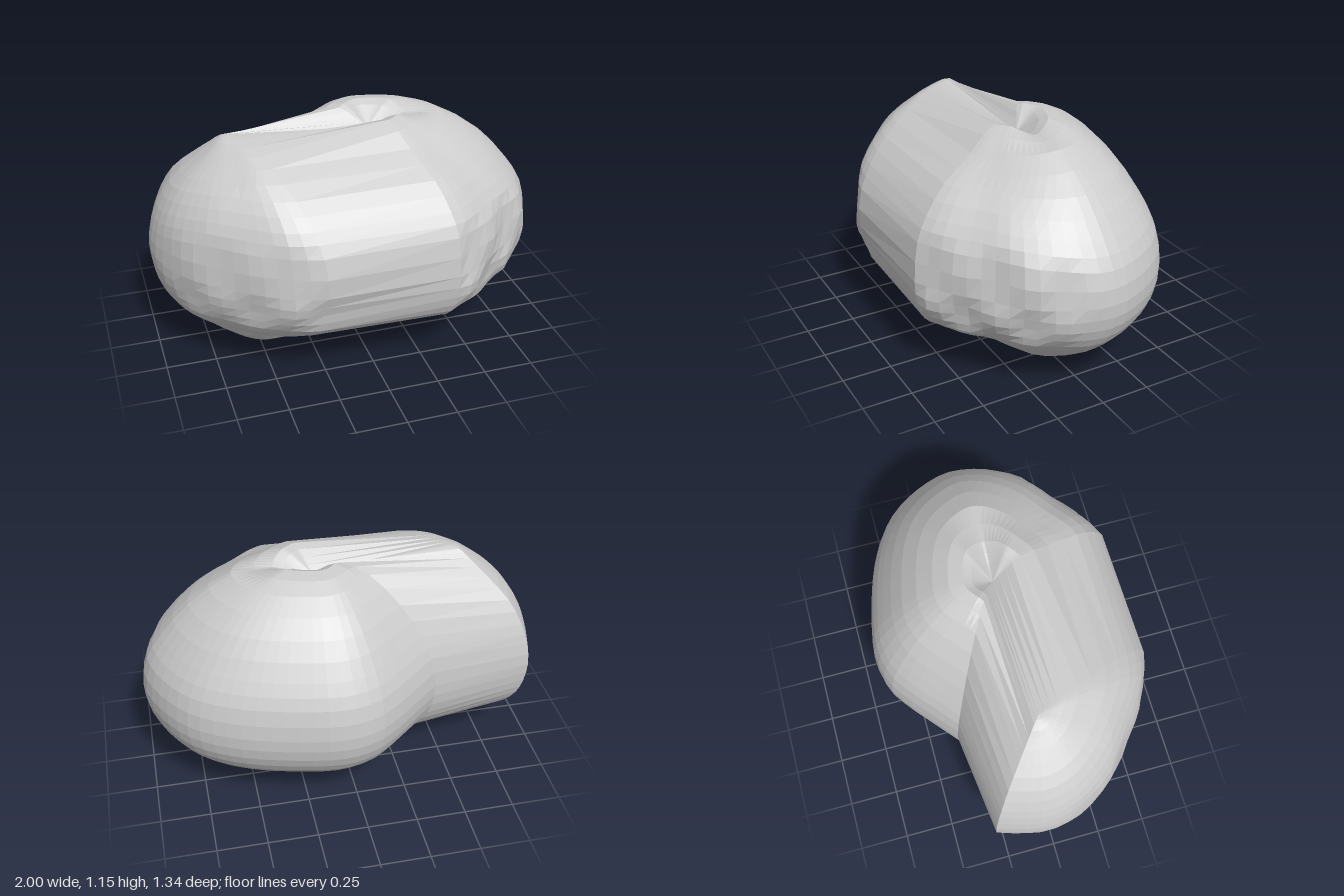
import * as THREE from 'three';

const ROWS = 28;

// Meridian profiles: [fraction of radius, height, height towards the front]
const bodyProfile = [
  [0, 1.05, 1.05], [0.1, 1.1, 1.1], [0.22, 1.15, 1.13], [0.45, 1.1, 1.04],
  [0.7, 0.96, 0.95], [0.87, 0.8, 0.83], [0.96, 0.68, 0.72], [1, 0.52, 0.52],
  [0.98, 0.39, 0.4], [0.91, 0.28, 0.3], [0.78, 0.18, 0.24], [0.6, 0.09, 0.21],
  [0.38, 0.01, 0.21], [0.22, 0.005, 0.11], [0, 0.03, 0.03],
];
const sideProfile = [
  [0, 1.11, 1.11], [0.1, 1.1, 1.12], [0.22, 1.06, 1.13], [0.45, 0.98, 1.045],
  [0.7, 0.88, 0.94], [0.87, 0.76, 0.83], [0.96, 0.65, 0.72], [1, 0.53, 0.52],
  [0.97, 0.42, 0.41], [0.9, 0.33, 0.31], [0.76, 0.25, 0.23], [0.57, 0.19, 0.18],
  [0.38, 0.145, 0.045], [0.2, 0.11, 0.06], [0, 0.09, 0.09],
];

// Widest outlines seen from above [x, z]
const bodyOutline = [
  [0.38, 0.66], [0.47, 0.62], [0.62, 0.5], [0.78, 0.38], [0.91, 0.23], [0.98, 0.08],
  [1, -0.06], [0.93, -0.26], [0.8, -0.43], [0.6, -0.55], [0.3, -0.64], [0.08, -0.67],
  [-0.08, -0.635], [-0.18, -0.57], [-0.3, -0.47], [-0.43, -0.36],
];
const sideOutline = [
  [-0.94, -0.3], [-0.98, -0.17], [-1, -0.03], [-0.95, 0.16], [-0.81, 0.35],
  [-0.65, 0.48], [-0.42, 0.63], [-0.28, 0.66],
];

const spline = (pts) => new THREE.CatmullRomCurve3(pts.map(([a, b, c = 0]) => new THREE.Vector3(a, b, c)));

// Columns of points from the top pole down to the base pole (each [x, z])
function meridians({ outline, profile, top, base, count, lumps, crease }) {
  const rim = spline(outline).getSpacedPoints(count);
  const rows = spline(profile).getPoints(ROWS);
  return rim.map((r, i) => rows.map(({ x: f, y, z: yFront }, j) => {
    const t = THREE.MathUtils.smoothstep(j / ROWS, 0.15, 0.95);
    const px = THREE.MathUtils.lerp(top[0], base[0], t);
    const pz = THREE.MathUtils.lerp(top[1], base[1], t);
    const front = Math.min(1, Math.max(0, r.y / 0.66) * f * 2);
    // shallow dents on the lower front
    const dent = y < 0.7 && f > 0.3 ? lumps * front * Math.sin(i * 1.3) * Math.sin(j * 1.1) : 0;
    const reach = f * (1 - dent);
    // cleft running sideways across the top hollow
    const cleft = y > 0.9 && f < 0.45
      ? crease * Math.sin(Math.PI * f / 0.45) * Math.max(0, 1 - Math.abs(r.y) / 0.45) : 0;
    return [
      px + (r.x - px) * reach,
      THREE.MathUtils.lerp(y, yFront, front) - cleft,
      pz + (r.y - pz) * reach,
    ];
  }));
}

export function createModel() {
  const group = new THREE.Group();
  group.name = 'stretchedFruit';

  // Round body, then the front side quarter drawn out sideways;
  // the wide quads between the two sets form the straight bridging panels
  const columns = [
    ...meridians({
      outline: bodyOutline, profile: bodyProfile, top: [0.13, -0.02], base: [0.22, 0.15],
      count: 40, lumps: 0.025, crease: 0.05,
    }),
    ...meridians({
      outline: sideOutline, profile: sideProfile, top: [-0.58, 0], base: [-0.62, 0],
      count: 18, lumps: 0.02, crease: 0,
    }),
  ];
  const n = columns.length;
  const index = [];
  for (let i = 0; i < n; i++) {
    for (let j = 0; j < ROWS; j++) {
      const a = i * (ROWS + 1) + j;
      const b = ((i + 1) % n) * (ROWS + 1) + j;
      index.push(a, a + 1, b, b, a + 1, b + 1);
    }
  }
  const geometry = new THREE.BufferGeometry();
  geometry.setAttribute('position', new THREE.Float32BufferAttribute(columns.flat(2), 3));
  geometry.setIndex(index);
  geometry.computeVertexNormals();

  const skin = new THREE.Mesh(geometry, new THREE.MeshStandardMaterial({
    color: 0xcccccc, flatShading: true, side: THREE.DoubleSide,
  }));
  skin.name = 'fruitSkin';
  group.add(skin);
  return group;
}
